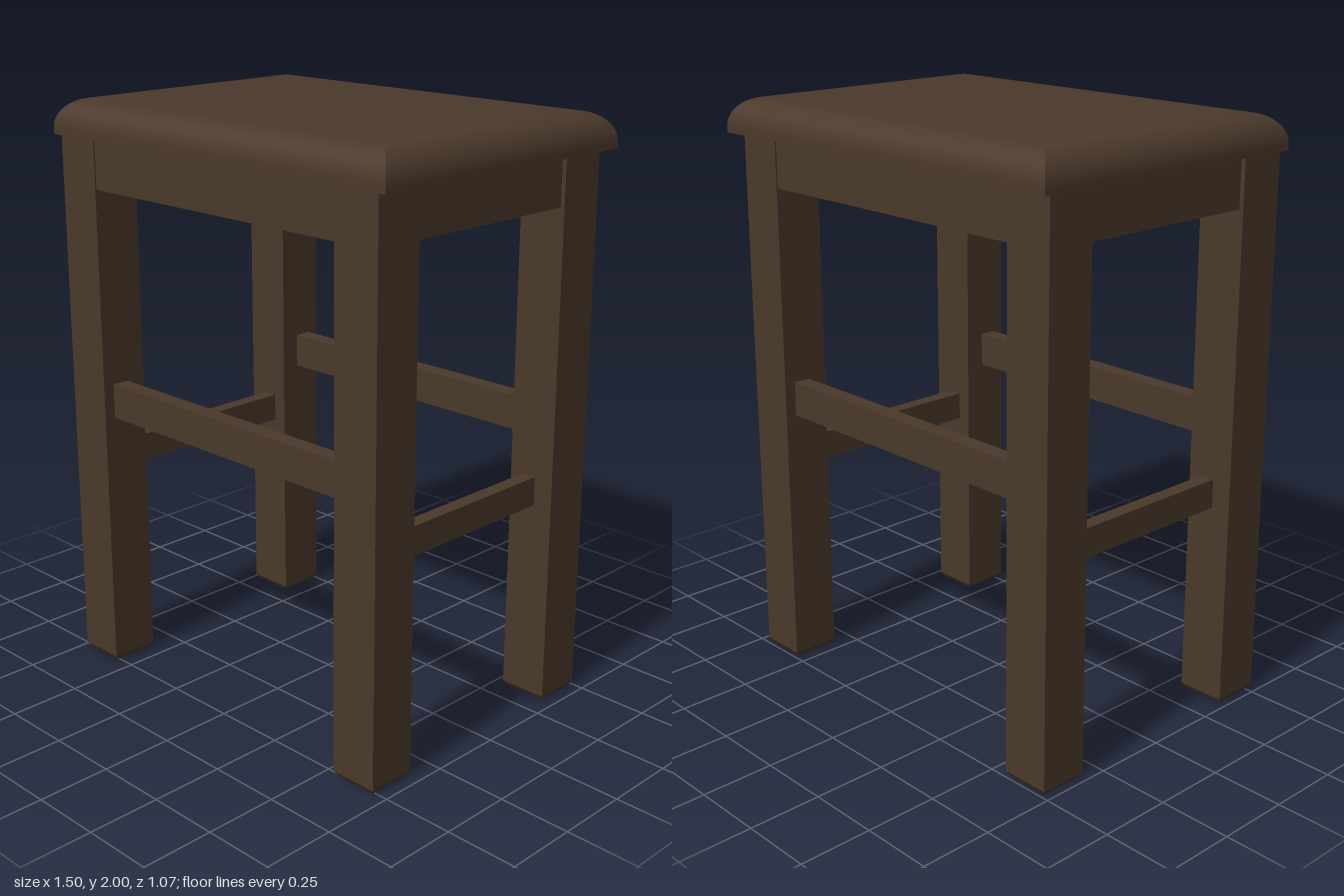
import * as THREE from 'three';
import { toCreasedNormals } from 'three/addons/utils/BufferGeometryUtils.js';

const wood = new THREE.MeshStandardMaterial({ color: 0x4b392b });

// Closed rectangular solid stacked from [inset, y] sections, bottom to top
function stackedBlock(width, depth, sections) {
  const pos = [], index = [];
  for (const [inset, y] of sections) {
    const x = width / 2 - inset, z = depth / 2 - inset;
    pos.push(-x, y, z, x, y, z, x, y, -z, -x, y, -z);
  }
  for (let k = 0; k < sections.length - 1; k++) {
    for (let i = 0; i < 4; i++) {
      const a = k * 4 + i, b = k * 4 + (i + 1) % 4;
      index.push(a, b, b + 4, a, b + 4, a + 4);
    }
  }
  const t = (sections.length - 1) * 4;
  index.push(t, t + 1, t + 2, t, t + 2, t + 3, 0, 2, 1, 0, 3, 2);
  const geo = new THREE.BufferGeometry();
  geo.setAttribute('position', new THREE.Float32BufferAttribute(pos, 3));
  geo.setIndex(index);
  return toCreasedNormals(geo, 0.5);
}

export function createModel() {
  const group = new THREE.Group();
  const add = (name, geo, x, y, z) => {
    const mesh = new THREE.Mesh(geo, wood);
    mesh.name = name;
    mesh.position.set(x, y, z);
    group.add(mesh);
  };

  // Seat with a quarter-round upper edge
  const R = 0.1, steps = 10, seatProfile = [[0, 1.88]];
  for (let i = 0; i <= steps; i++) {
    const a = (i / steps) * Math.PI / 2;
    seatProfile.push([R * (1 - Math.cos(a)), 1.9 + R * Math.sin(a)]);
  }
  add('seat', stackedBlock(1.5, 1.07, seatProfile), 0, 0, 0);

  // Legs with chamfered feet, their frame slightly off the seat centre
  const leg = 0.17, cx = -0.01, cz = 0.012, lx = 0.635, lz = 0.422;
  const legGeo = stackedBlock(leg, leg, [[0.012, 0], [0, 0.018], [0, 1.88]]);
  for (const sx of [-1, 1]) {
    for (const sz of [-1, 1]) {
      add((sz > 0 ? 'front' : 'back') + (sx > 0 ? 'Left' : 'Right') + 'Leg',
        legGeo, cx + sx * lx, 0, cz + sz * lz);
    }
  }

  // Aprons and stretchers spanning between the legs
  const spanX = 2 * lx - leg, spanZ = 2 * lz - leg;
  const outX = lx + leg / 2, outZ = lz + leg / 2;
  const rails = [
    // name, bottom, top, thickness, recess of long rails, recess of side rails
    ['Apron', 1.715, 1.88, 0.06, 0.005, 0.015],
  ];
  for (const s of [-1, 1]) {
    const end = s > 0 ? 'front' : 'back', side = s > 0 ? 'left' : 'right';
    for (const [name, y0, y1, t, recessZ, recessX] of rails) {
      add(end + name, new THREE.BoxGeometry(spanX, y1 - y0, t),
        cx, (y0 + y1) / 2, cz + s * (outZ - recessZ - t / 2));
      add(side + name, new THREE.BoxGeometry(t, y1 - y0, spanZ),
        cx + s * (outX - recessX - t / 2), (y0 + y1) / 2, cz);
    }
    add(end + 'Stretcher', new THREE.BoxGeometry(spanX, 0.12, 0.06),
      cx, 0.978, cz + s * (outZ - 0.04 - 0.03));
    add(side + 'Stretcher', new THREE.BoxGeometry(0.05, 0.1, spanZ),
      cx + s * (outX - 0.07 - 0.025), 0.755, cz);
  }
  return group;
}
